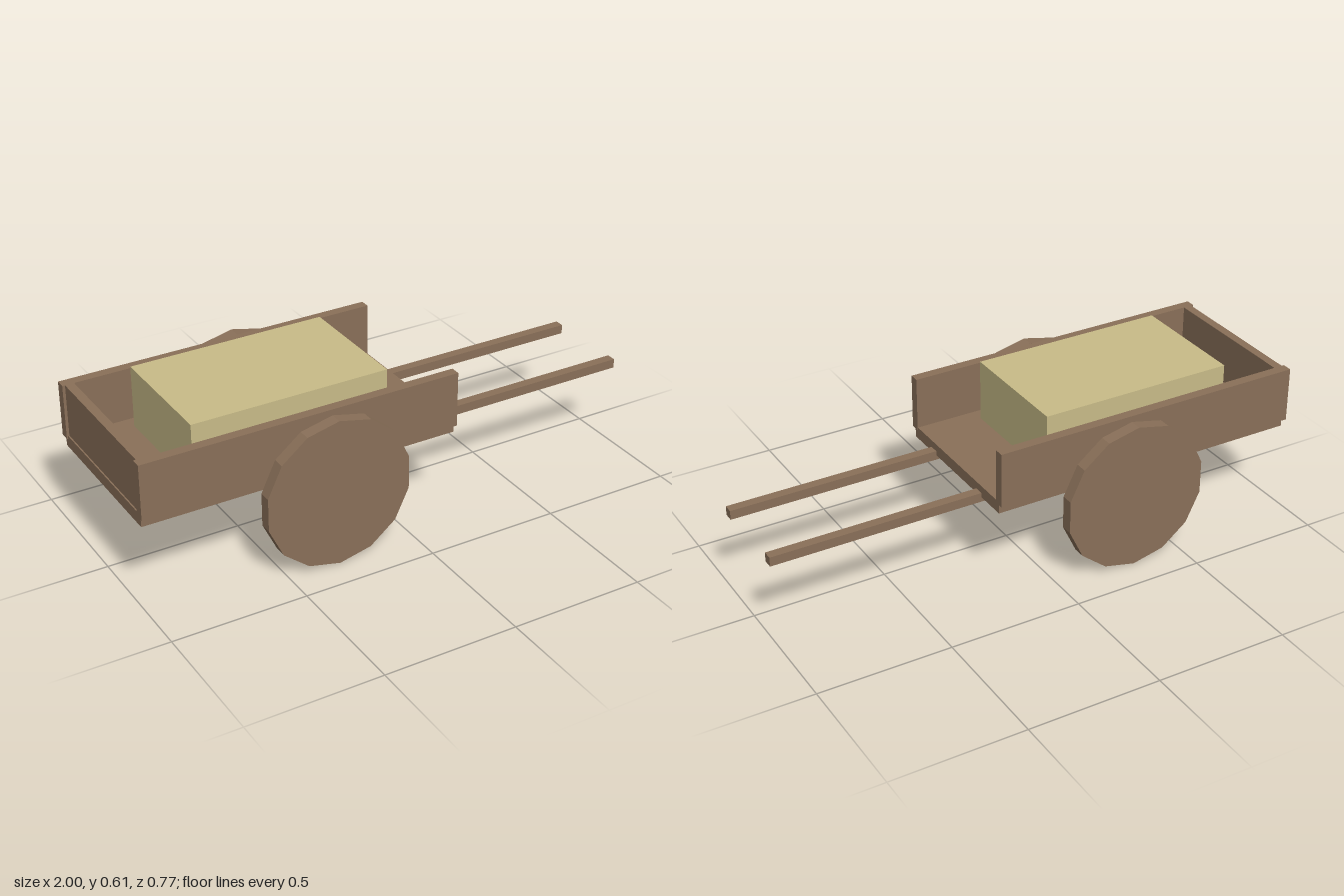
import * as THREE from 'three';

export function createModel() {
  const cart = new THREE.Group();
  cart.name = 'handcart';

  const wood = new THREE.MeshStandardMaterial({ color: 0x8a7059 });
  wood.name = 'brown wood';
  const straw = new THREE.MeshStandardMaterial({ color: 0xc9bc88 });
  straw.name = 'pale straw';

  // Box given by its lower and upper limits on each axis
  function box(name, material, [x0, x1], [y0, y1], [z0, z1]) {
    const mesh = new THREE.Mesh(new THREE.BoxGeometry(x1 - x0, y1 - y0, z1 - z0), material);
    mesh.position.set((x0 + x1) / 2, (y0 + y1) / 2, (z0 + z1) / 2);
    mesh.name = name;
    cart.add(mesh);
    return mesh;
  }

  // Bed, open at the shaft end
  box('floor', wood, [-0.995, 0.204], [0.328, 0.373], [-0.303, 0.303]);
  box('tailBoard', wood, [-0.99, -0.957], [0.362, 0.57], [-0.29, 0.29]);

  // Hay bale, reaching down through the floor
  box('hayBale', straw, [-0.77, -0.027], [0.327, 0.606], [-0.232, 0.232]);

  // Fourteen-sided solid wheels, one corner pointing down
  const wheelShape = new THREE.CylinderGeometry(0.28, 0.28, 0.046, 14).rotateX(Math.PI / 2).toNonIndexed();
  wheelShape.computeVertexNormals();

  for (const side of [1, -1]) {
    const label = side > 0 ? 'front' : 'back';
    const span = (a, b) => [side * a, side * b].sort((p, q) => p - q);

    box(label + 'SideBoard', wood, [-1, 0.205], [0.362, 0.57], span(0.285, 0.322));
    box(label + 'Shaft', wood, [0.16, 1], [0.31, 0.345], span(0.146, 0.182));

    const wheel = new THREE.Mesh(wheelShape, wood);
    wheel.position.set(-0.304, 0.28, side * 0.364);
    wheel.name = label + 'Wheel';
    cart.add(wheel);
  }

  return cart;
}
